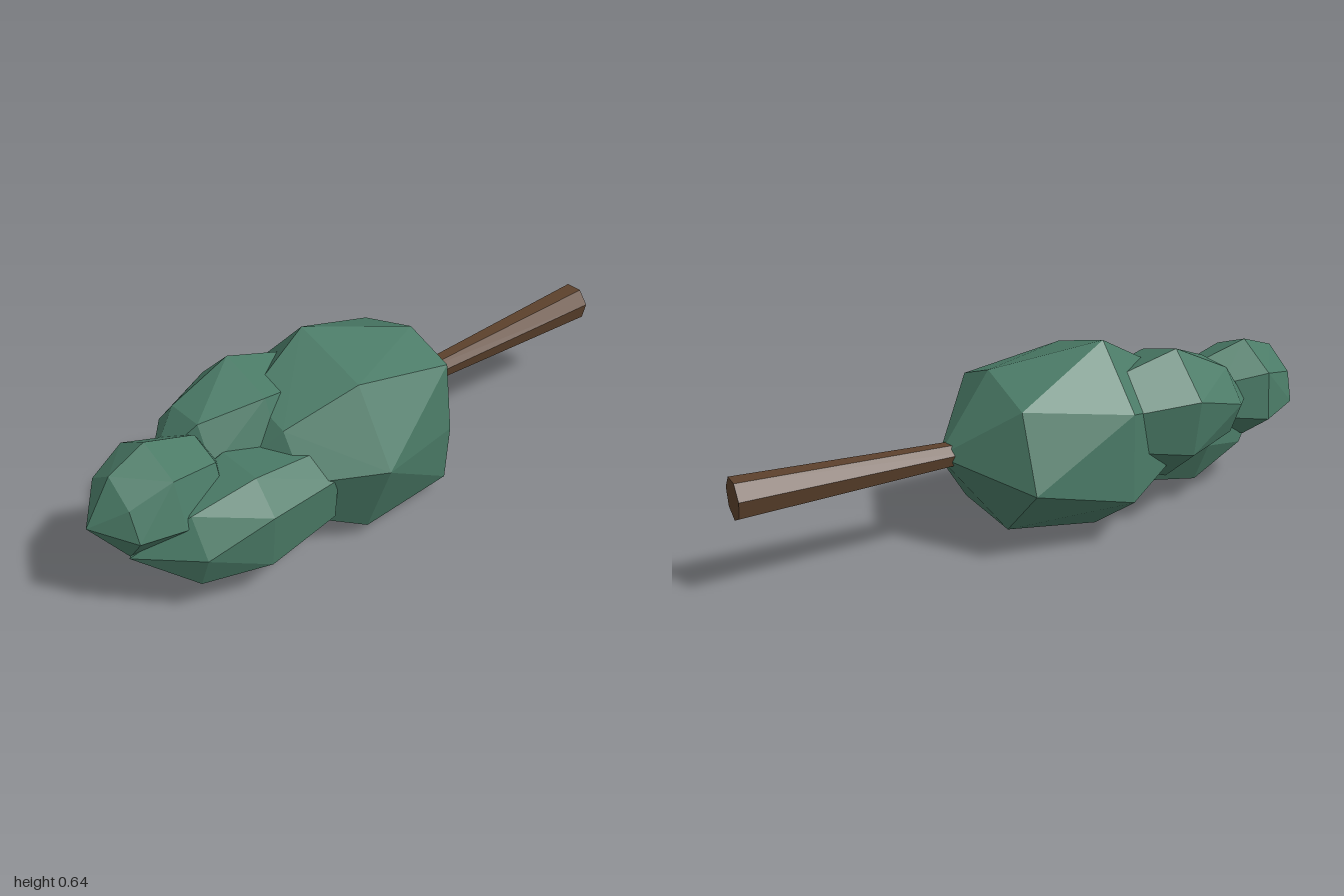
import * as THREE from 'three';
import { ConvexGeometry } from 'three/addons/geometries/ConvexGeometry.js';

const leafMaterial = new THREE.MeshStandardMaterial({ color: 0x4a7a66, flatShading: true });
const barkMaterial = new THREE.MeshStandardMaterial({ color: 0x5c412c, flatShading: true });

// Faceted clump: a seven-sided widest ring, a smaller ring behind and in front, and two tips.
// A ring that is not given is the widest one shrunk about the centre.
function clump(name, { center, z, widest, back, front, shrink = 0.72, tips }) {
  const smaller = widest.map(([x, y]) => [
    center[0] + (x - center[0]) * shrink,
    center[1] + (y - center[1]) * shrink,
  ]);
  const rings = [back ?? smaller, widest, front ?? smaller];
  const points = tips.map((tip) => new THREE.Vector3(...tip));
  rings.forEach((ring, i) => ring.forEach(([x, y]) => points.push(new THREE.Vector3(x, y, z[i]))));
  const mesh = new THREE.Mesh(new ConvexGeometry(points), leafMaterial);
  mesh.name = name;
  return mesh;
}

export function createModel() {
  const tree = new THREE.Group();
  tree.name = 'fallenTree';

  // Tapered trunk lying along z
  const trunk = new THREE.Mesh(new THREE.CylinderGeometry(0.036, 0.066, 0.8, 7), barkMaterial);
  trunk.name = 'trunk';
  trunk.rotation.x = Math.PI / 2;
  trunk.position.set(-0.015, 0.32, -0.6);
  tree.add(trunk);

  // Foliage, from the large clump at the trunk to the small one at the crown
  tree.add(clump('largeFoliage', {
    center: [0, 0.32],
    z: [-0.17, 0.17, 0.4],
    widest: [[-0.1, 0.637], [0.17, 0.563], [0.318, 0.325], [0.21, 0.05], [-0.075, 0], [-0.303, 0.163], [-0.29, 0.45]],
    back: [[0.02, 0.56], [0.19, 0.5], [0.217, 0.27], [0.2, 0.065], [-0.1, 0.065], [-0.29, 0.25], [-0.2, 0.49]],
    shrink: 0.6,
    tips: [[-0.01, 0.32, -0.36], [0, 0.32, 0.52]],
  }));
  tree.add(clump('rightFoliage', {
    center: [-0.12, 0.38],
    z: [0.2, 0.4, 0.6],
    widest: [[-0.17, 0.593], [0.02, 0.54], [0.07, 0.4], [0, 0.22], [-0.14, 0.145], [-0.29, 0.27], [-0.318, 0.458]],
    front: [[-0.175, 0.5], [-0.04, 0.505], [0.02, 0.38], [-0.03, 0.26], [-0.13, 0.23], [-0.215, 0.29], [-0.265, 0.4]],
    tips: [[-0.12, 0.38, 0.12], [-0.13, 0.36, 0.72]],
  }));
  tree.add(clump('leftFoliage', {
    center: [0.08, 0.24],
    z: [0.3, 0.56, 0.76],
    widest: [[0.185, 0.425], [0.268, 0.33], [0.245, 0.14], [0.1, 0.03], [-0.085, 0.08], [-0.155, 0.225], [0.02, 0.42]],
    front: [[0.15, 0.37], [0.22, 0.25], [0.17, 0.13], [0.04, 0.09], [-0.065, 0.17], [-0.06, 0.28], [0.03, 0.36]],
    shrink: 0.8,
    tips: [[0.08, 0.24, 0.24], [0.06, 0.245, 0.92]],
  }));
  tree.add(clump('crownFoliage', {
    center: [-0.015, 0.36],
    z: [0.62, 0.78, 0.91],
    widest: [[-0.035, 0.533], [0.11, 0.48], [0.157, 0.335], [0.06, 0.225], [-0.06, 0.196], [-0.19, 0.29], [-0.176, 0.45]],
    front: [[-0.015, 0.49], [0.08, 0.425], [0.12, 0.33], [0.05, 0.24], [-0.06, 0.24], [-0.145, 0.32], [-0.12, 0.42]],
    tips: [[-0.015, 0.37, 0.56], [-0.015, 0.35, 1]],
  }));

  return tree;
}
